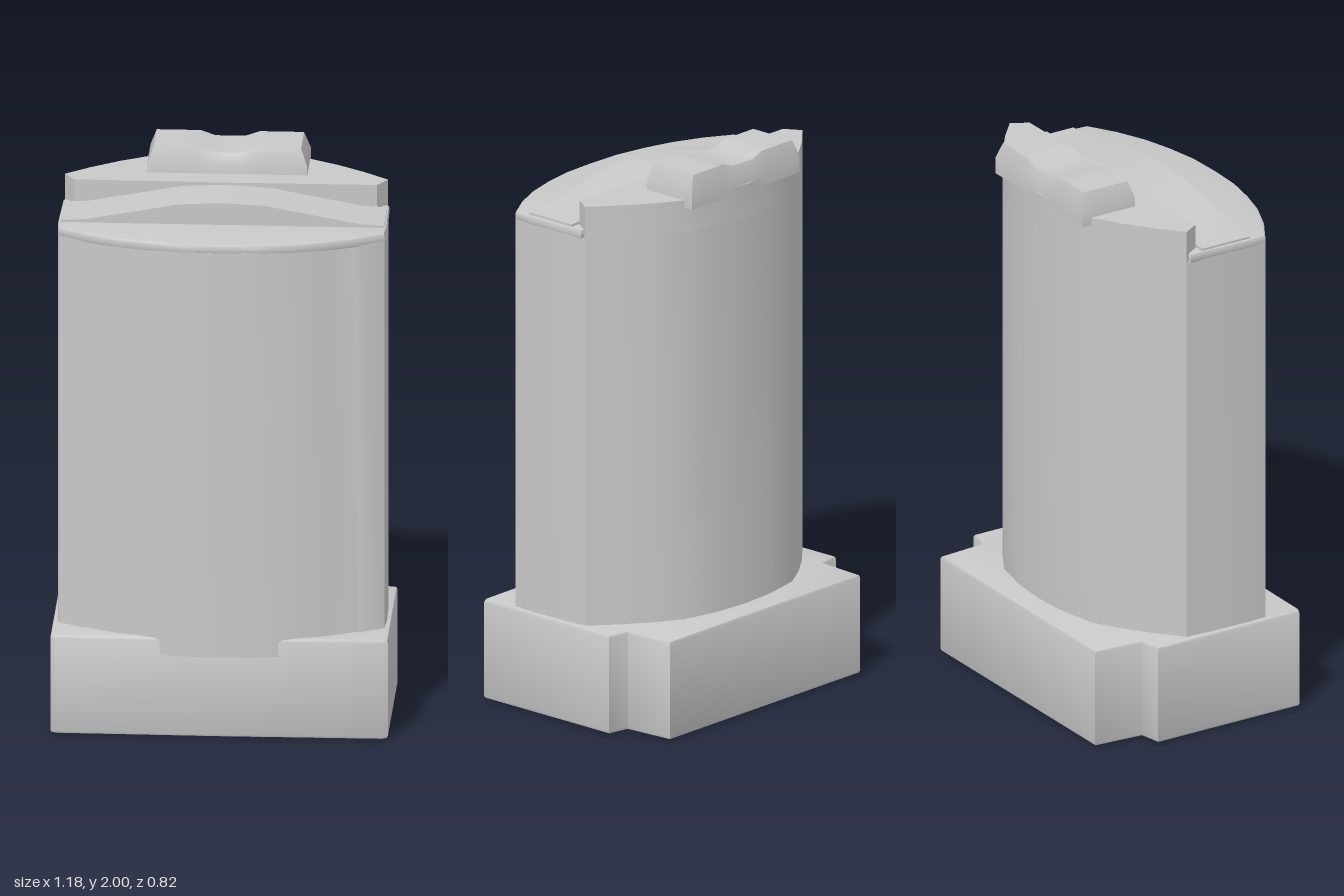
import * as THREE from 'three';
import { toCreasedNormals } from 'three/addons/utils/BufferGeometryUtils.js';

const stone = new THREE.MeshStandardMaterial({ color: 0xc8c8c8 });
stone.name = 'pale grey';

// Closed shape from its right half, mirrored across x = 0
function mirrored(half) {
  const left = half.filter(([x]) => x > 0).map(([x, y]) => [-x, y]).reverse();
  return new THREE.Shape([...half, ...left].map(([x, y]) => new THREE.Vector2(x, y)));
}

function part(name, geometry, crease = 0.6) {
  const mesh = new THREE.Mesh(toCreasedNormals(geometry, crease), stone);
  mesh.name = name;
  return mesh;
}

// Raises a plan, given as [x, z] from back to front, between two heights with a small bevel
function storey(name, plan, bottom, top, bevel = 0) {
  const shape = mirrored(plan.map(([x, z]) => [x, -z]));
  const geometry = new THREE.ExtrudeGeometry(shape, {
    depth: top - bottom - 2 * bevel, bevelEnabled: bevel > 0,
    bevelThickness: bevel, bevelSize: bevel, bevelOffset: -bevel, bevelSegments: 2,
  });
  geometry.rotateX(-Math.PI / 2).translate(0, bottom + bevel, 0);
  return part(name, geometry);
}

export function createModel() {
  const group = new THREE.Group();
  group.name = 'tower';

  // Stepped podium, narrower at the back
  group.add(storey('podium', [
    [0, -0.41], [0.495, -0.41], [0.51, -0.225], [0.59, -0.21], [0.59, 0.38], [0.57, 0.39], [0, 0.395],
  ], 0, 0.365, 0.012));

  // Curved wall sections shared by the tower storeys
  const back = [[0, -0.325], [0.14, -0.315], [0.28, -0.285], [0.38, -0.225], [0.48, -0.15], [0.565, -0.075]];
  const front = [[0.57, 0.25], [0.49, 0.298], [0.475, 0.298], [0.36, 0.355], [0.25, 0.385], [0.13, 0.408], [0, 0.412]];

  // Main shaft, with corner piers beside the bowed front
  group.add(storey('shaft', [...back, [0.572, 0.02], [0.575, 0.17], ...front], 0.3, 1.79));

  // Smooth bowed slab that closes the front terrace
  group.add(storey('frontTerrace', [
    [0, -0.1], [0.57, -0.06], [0.575, 0.17], [0.57, 0.25], [0.47, 0.31],
    [0.36, 0.357], [0.25, 0.387], [0.13, 0.408], [0, 0.412],
  ], 1.785, 1.82, 0.008));

  // Middle roof, sloping down towards both ends
  const roof = new THREE.ExtrudeGeometry(mirrored([
    [0, 1.8], [0.565, 1.8], [0.565, 1.828], [0.48, 1.832], [0.15, 1.893], [0, 1.9],
  ]), { depth: 0.2, bevelEnabled: false });
  roof.translate(0, 0, -0.01);
  group.add(part('middleRoof', roof));

  // Tall rear part of the roof
  group.add(storey('rearRoof', [...back, [0.53, -0.015], [0, -0.01]], 1.785, 1.908));

  // Rooftop plant room: tapered, with a shallow dip in the middle
  const plant = new THREE.BoxGeometry(0.56, 0.12, 0.215, 10, 2, 4);
  const p = plant.attributes.position;
  for (let i = 0; i < p.count; i++) {
    const x = p.getX(i), y = p.getY(i), z = p.getZ(i);
    if (y > 0.05) {
      p.setX(i, x * 0.92);
      p.setZ(i, z * 0.85);
      p.setY(i, Math.abs(x) < 0.1 ? 0.042 : y);
    }
  }
  plant.translate(0, 1.94, -0.2125);
  group.add(part('plantRoom', plant, 0.8));

  return group;
}
